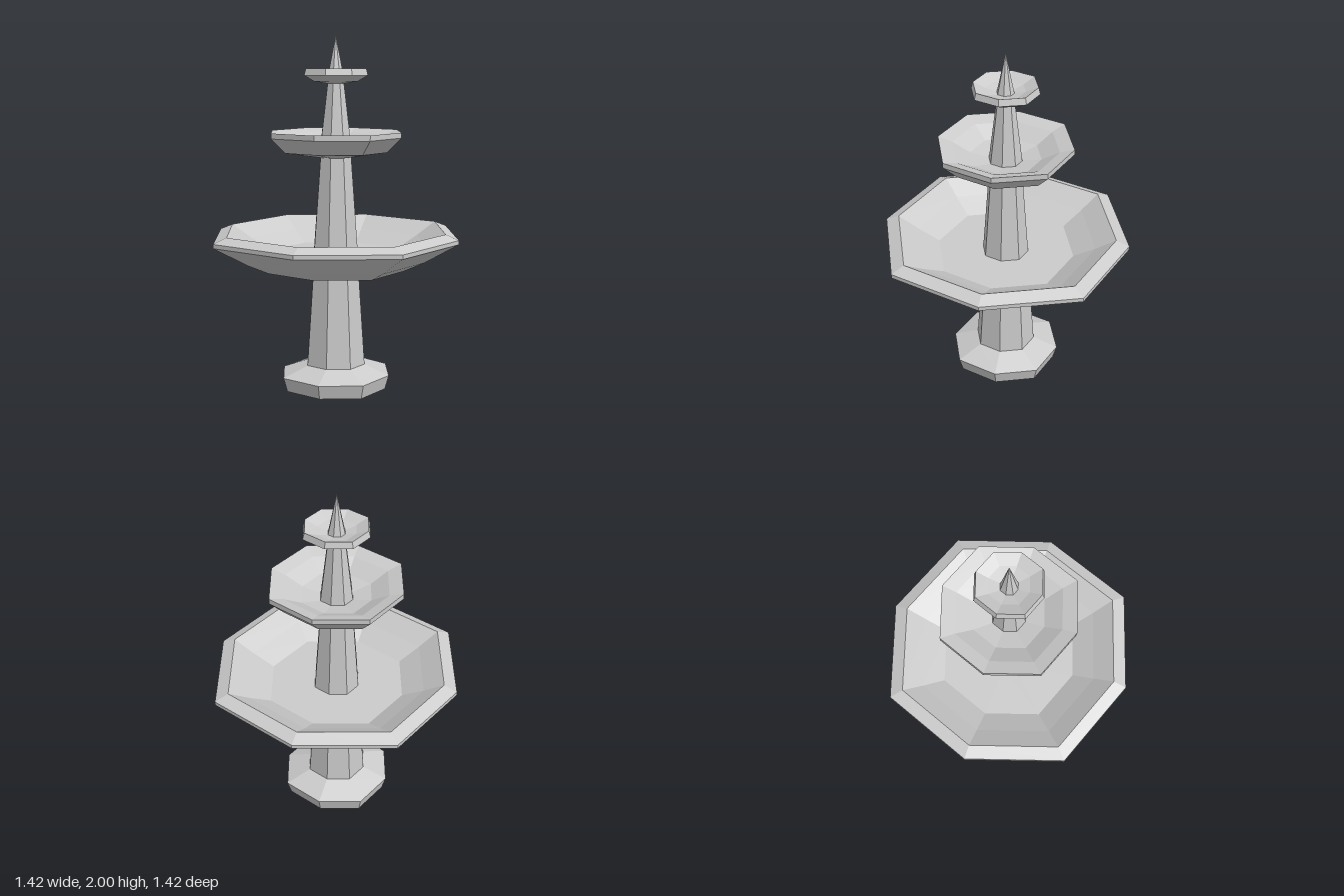
import * as THREE from 'three';

const SIDES = 8;
const DIAGONAL = 1.045; // diagonal corners reach slightly further out than axis corners

const stone = new THREE.MeshStandardMaterial({ color: 0xcccccc, flatShading: true });

// Eight-sided turned part; profile is [radius, y] from the underside, out, and up
function turned(name, profile) {
  const points = profile.map(([r, y]) => new THREE.Vector2(r, y));
  const geometry = new THREE.LatheGeometry(points, SIDES);
  const pos = geometry.attributes.position;
  for (let i = 0; i < pos.count; i++) {
    const corner = Math.floor(i / points.length);
    if (corner % 2 === 1) {
      pos.setX(i, pos.getX(i) * DIAGONAL);
      pos.setZ(i, pos.getZ(i) * DIAGONAL);
    }
  }
  geometry.computeVertexNormals();
  const mesh = new THREE.Mesh(geometry, stone);
  mesh.name = name;
  return mesh;
}

export function createModel() {
  const fountain = new THREE.Group();
  fountain.name = 'tieredFountain';

  fountain.add(
    // Foot with a hollowed underside
    turned('base', [[0, 0.03], [0.155, 0.03], [0.295, 0], [0.317, 0.08], [0.173, 0.135]]),

    // Tapered columns between the bowls
    turned('lowerColumn', [[0.173, 0.135], [0.138, 0.645]]),
    turned('middleColumn', [[0.132, 0.77], [0.091, 1.325]]),
    turned('upperColumn', [[0.094, 1.36], [0.048, 1.735]]),

    // Bowls: underside, rim, then inside down to the floor
    turned('largeBowl', [
      [0.1, 0.643], [0.138, 0.643], [0.4, 0.69], [0.52, 0.746], [0.71, 0.857],
      [0.71, 0.88], [0.635, 0.91], [0.52, 0.838], [0.395, 0.77], [0.1, 0.77],
    ]),
    turned('middleBowl', [
      [0.07, 1.322], [0.1, 1.322], [0.3, 1.353], [0.38, 1.435],
      [0.38, 1.465], [0.3, 1.44], [0.2, 1.385], [0.07, 1.36],
    ]),
    turned('smallBowl', [
      [0.03, 1.733], [0.055, 1.733], [0.13, 1.745], [0.187, 1.778],
      [0.177, 1.815], [0.11, 1.785], [0.03, 1.765],
    ]),

    // Pointed finial
    turned('finial', [[0.049, 1.765], [0.038, 1.815], [0, 2]])
  );
  return fountain;
}
